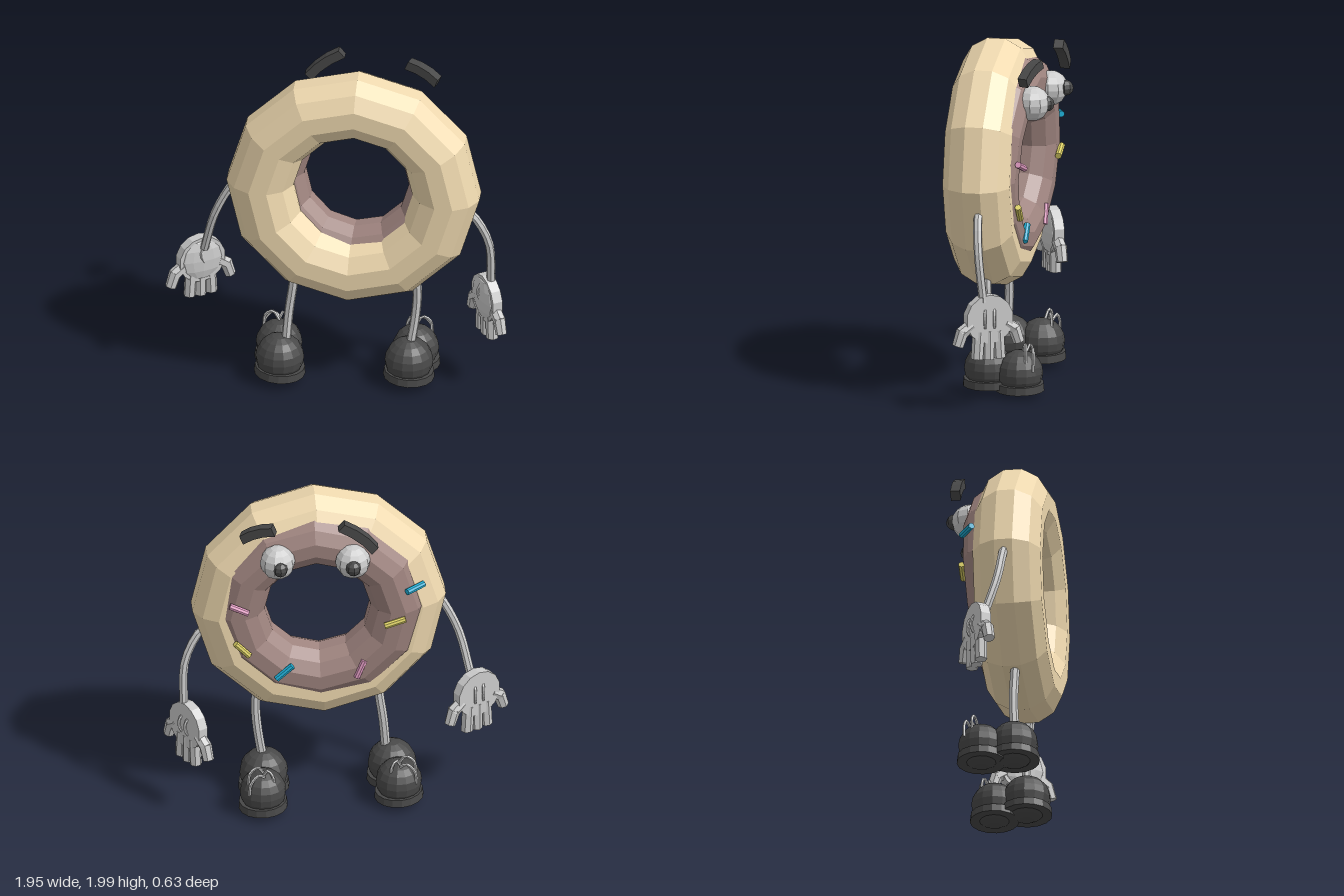
import * as THREE from 'three';

const mat = (color) => new THREE.MeshStandardMaterial({ color, flatShading: true });
const grey = mat(0xcccccc), dark = mat(0x484848), dough = mat(0xf0dab0), icing = mat(0xa08580);
const blue = mat(0x1fb0d8), yellow = mat(0xe0d468), pink = mat(0xe8a0c8);
const V = (p) => new THREE.Vector3(...p);

function add(parent, name, geometry, material, pos = [0, 0, 0], rot = [0, 0, 0]) {
  const m = new THREE.Mesh(geometry, material);
  m.name = name;
  m.position.set(...pos);
  m.rotation.set(...rot);
  parent.add(m);
  return m;
}

// Twelve-sided ring facing z, with a flat facet on its rim
function ring(R, r, depth) {
  const pts = [];
  for (let i = 0; i <= 12; i++) {
    const a = ((i - 0.5) * Math.PI) / 6;
    pts.push(new THREE.Vector2(R + r * Math.cos(a), depth * Math.sin(a)));
  }
  return new THREE.LatheGeometry(pts, 12).rotateX(Math.PI / 2);
}

// Capped straight rod between two points
function rod(parent, name, a, b, r0, r1, material, sides = 7) {
  const d = V(b).sub(V(a));
  const m = add(parent, name, new THREE.CylinderGeometry(r1, r0, d.length(), sides), material);
  m.position.copy(V(a)).addScaledVector(d, 0.5);
  m.quaternion.setFromUnitVectors(new THREE.Vector3(0, 1, 0), d.normalize());
}

// Bent tube through a few points
function tube(parent, name, pts, r, segs = 8, sides = 7) {
  const curve = new THREE.CatmullRomCurve3(pts.map(V));
  add(parent, name, new THREE.TubeGeometry(curve, segs, r, sides), grey);
}

// Eyebrow bar: a gently arched strip extruded in depth
function brow(parent, name, len, pos, rot) {
  const h = len / 2, t = 0.028, s = new THREE.Shape();
  s.moveTo(-h, -t - 0.008);
  s.lineTo(-h / 3, -t + 0.006);
  s.lineTo(h / 3, -t + 0.006);
  s.lineTo(h, -t - 0.008);
  s.lineTo(h, t - 0.008);
  s.lineTo(h / 3, t + 0.006);
  s.lineTo(-h / 3, t + 0.006);
  s.lineTo(-h, t - 0.008);
  const g = new THREE.ExtrudeGeometry(s, { depth: 0.056, bevelEnabled: false });
  g.translate(0, 0, -0.028);
  add(parent, name, g, dark, pos, rot);
}

// Gloved hand: disc palm facing local +z, three fingers down and a curled one on each side
function hand(name, pos, turn) {
  const g = new THREE.Group();
  g.name = name;
  g.position.set(...pos);
  g.rotation.y = turn;
  add(g, 'palm', new THREE.CylinderGeometry(0.142, 0.142, 0.06, 14), grey, [0, 0, 0], [Math.PI / 2, 0, 0]);
  add(g, 'palmDome', new THREE.SphereGeometry(0.13, 12, 6), grey, [0, 0, -0.02]).scale.set(1, 1, 0.25);
  for (const i of [-1, 0, 1])
    rod(g, 'finger', [i * 0.058, -0.07, 0], [i * 0.068, -0.235 + Math.abs(i) * 0.005, 0], 0.036, 0.035, grey);
  for (const s of [-1, 1]) {
    rod(g, 'sideFingerBase', [s * 0.1, -0.03, 0], [s * 0.165, -0.075, 0], 0.036, 0.037, grey);
    rod(g, 'sideFingerTip', [s * 0.155, -0.06, 0], [s * 0.185, -0.148, 0], 0.037, 0.033, grey);
    // Raised seams on the back of the hand
    const x = s * 0.028;
    tube(g, 'seam', [[x, 0.055, 0.025], [x - 0.006, 0.03, 0.04], [x - 0.006, -0.02, 0.04], [x, -0.05, 0.025]], 0.009, 6, 5);
  }
  // Fold on the inner palm
  tube(g, 'palmFold', [[0, 0.1, -0.03], [0.015, 0.04, -0.047], [-0.02, -0.04, -0.035]], 0.012, 6, 5);
  return g;
}

// Boot: heel ball and toe ball, each with a rim sole, plus lace loops leaning to the outer side
function shoe(name, heel, toe, side) {
  const g = new THREE.Group();
  g.name = name;
  for (const [part, p, r] of [['heel', heel, 0.138], ['toe', toe, 0.132]]) {
    add(g, part, new THREE.SphereGeometry(r, 14, 10), dark, p);
    add(g, part + 'Sole', new THREE.CylinderGeometry(r + 0.004, r + 0.008, 0.045, 16), dark,
      [p[0], p[1] - 0.078, p[2]], [0, 0, -0.05]);
  }
  const [x, y, z] = toe;
  for (const [w, dz] of [[1, 0], [1, -0.045], [-0.6, -0.02]]) {
    const k = w * side;
    tube(g, 'lace', [
      [x, y + 0.125, z - 0.02 + dz],
      [x + k * 0.035, y + 0.175 + dz * 0.6, z - 0.035 + dz],
      [x + k * 0.08, y + 0.145 + dz, z - 0.045 + dz],
      [x + k * 0.09, y + 0.07 + dz, z - 0.045 + dz]], 0.009, 8, 5);
  }
  return g;
}

export function createModel() {
  const model = new THREE.Group();
  model.name = 'doughnutCharacter';

  // Ring body, slightly turned; the icing is tilted a little more
  const body = new THREE.Group();
  body.name = 'body';
  body.position.set(0.1, 1.28, 0.1);
  body.rotation.y = -0.05;
  model.add(body);
  add(body, 'doughRing', ring(0.53, 0.197, 0.2), dough, [0, 0, 0], [0, 0, -0.035]);
  add(body, 'icingRing', ring(0.455, 0.16, 0.16), icing, [0.012, 0.02, -0.083], [-0.05, -0.05, -0.035]);

  // Eyes and brows
  for (const [eye, pupil] of [
    [[-0.06, 1.68, -0.18], [-0.052, 1.685, -0.268]],
    [[0.365, 1.685, -0.145], [0.36, 1.685, -0.225]]]) {
    add(model, 'eye', new THREE.SphereGeometry(0.1, 10, 8), grey, eye);
    add(model, 'pupil', new THREE.SphereGeometry(0.045, 8, 6), dark, pupil);
  }
  brow(model, 'rightBrow', 0.25, [-0.087, 1.88, -0.243], [0, -0.05, 0.7]);
  brow(model, 'leftBrow', 0.2, [0.48, 1.892, -0.152], [0, -0.35, -0.4]);

  // Sprinkles: centre, half direction, colour
  for (const [c, d, m] of [
    [[0.58, 1.365, -0.115], [0.052, 0.022, 0.01], pink],
    [[0.56, 1.09, -0.1], [0.04, 0.043, 0], yellow],
    [[0.32, 0.92, -0.1], [0.045, -0.04, 0], blue],
    [[-0.11, 0.935, -0.14], [0.022, -0.055, 0], pink],
    [[-0.3, 1.26, -0.195], [0.06, -0.018, 0], yellow],
    [[-0.42, 1.46, -0.16], [0.052, -0.004, -0.033], blue]]) {
    rod(model, 'sprinkle', c.map((v, i) => v - d[i]), c.map((v, i) => v + d[i]), 0.019, 0.019, m, 8);
  }

  // Arms and hands
  tube(model, 'rightArm', [[-0.57, 1.28, 0.07], [-0.62, 1.2, 0.06], [-0.695, 1.03, 0.04], [-0.755, 0.77, -0.03]], 0.025);
  tube(model, 'leftArm', [[0.74, 1.14, 0.1], [0.79, 1.09, 0.1], [0.865, 0.92, 0.085], [0.875, 0.64, 0.055]], 0.025);
  model.add(hand('rightHand', [-0.78, 0.685, -0.07], Math.PI + 0.49));
  model.add(hand('leftHand', [0.85, 0.54, 0.03], 2.09));

  // Legs and shoes
  tube(model, 'rightLeg', [[-0.23, 0.76, 0.1], [-0.245, 0.62, 0.095], [-0.268, 0.45, 0.09], [-0.285, 0.25, 0.1]], 0.027);
  tube(model, 'leftLeg', [[0.445, 0.76, 0.11], [0.46, 0.6, 0.1], [0.45, 0.45, 0.095], [0.42, 0.25, 0.1]], 0.027);
  model.add(shoe('rightShoe', [-0.32, 0.155, 0.1], [-0.335, 0.145, -0.085], -1));
  model.add(shoe('leftShoe', [0.412, 0.155, 0.1], [0.44, 0.137, -0.085], 1));

  return model;
}
